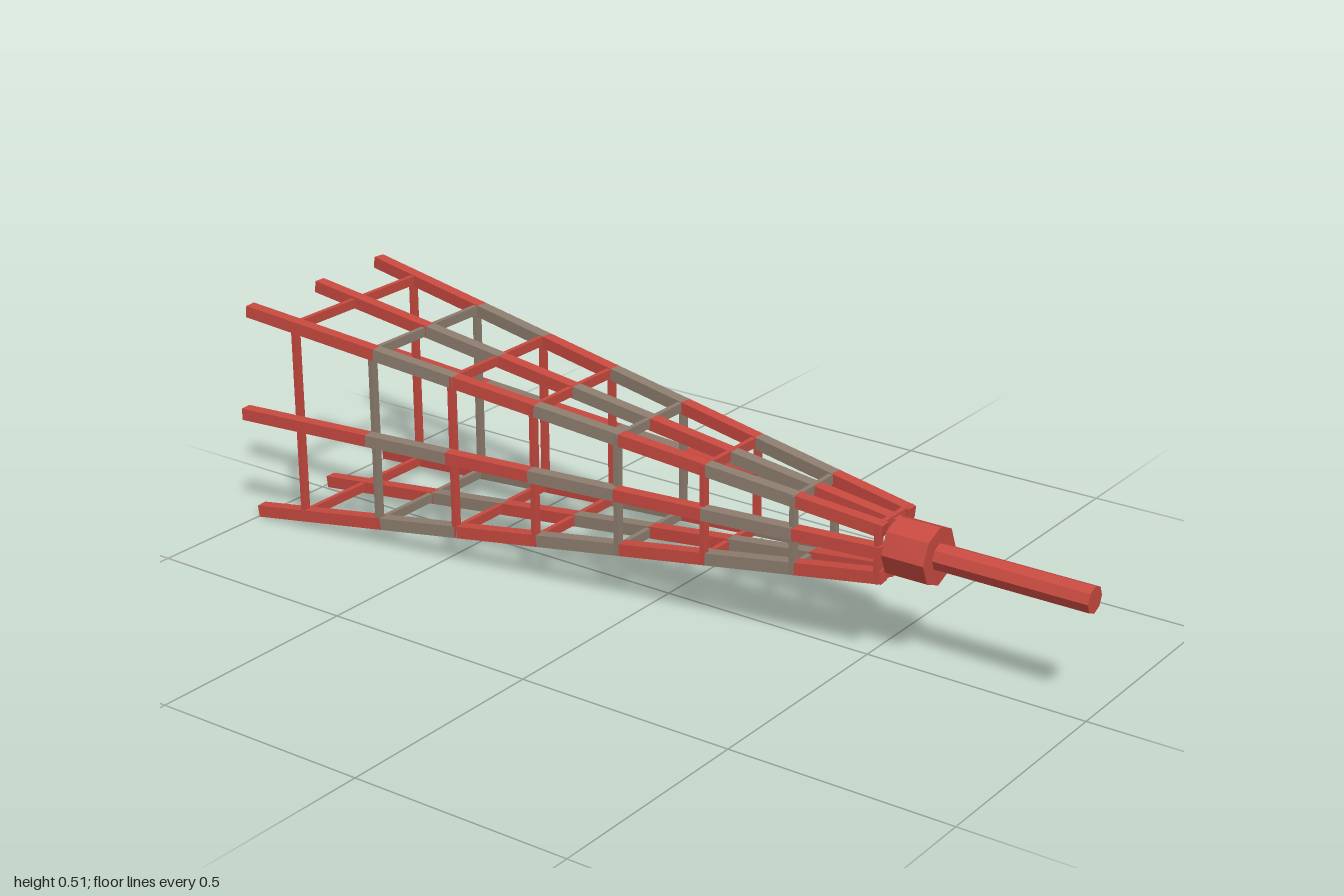
import * as THREE from 'three';

const red = new THREE.MeshStandardMaterial({ color: 0xc94a40 });
red.name = 'red paint';
const grey = new THREE.MeshStandardMaterial({ color: 0x8f7e70 });
grey.name = 'weathered grey';

const V = (x, y, z) => new THREE.Vector3(x, y, z);
const CX = 0.003, CY = 0.261;

// Square beam between two points
function beam(a, b, size, material, name) {
  const mesh = new THREE.Mesh(new THREE.BoxGeometry(size, size, a.distanceTo(b)), material);
  mesh.position.copy(a).lerp(b, 0.5);
  mesh.lookAt(b);
  mesh.name = name;
  return mesh;
}

// Leg painted in alternating bands that change at the cross frames
const bands = [0.56, 0.365, 0.16, -0.045, -0.25, -0.455, -0.66, -1];
function leg(start, end, name) {
  const group = new THREE.Group();
  group.name = name;
  const at = z => start.clone().lerp(end, Math.min(1, (start.z - z) / (start.z - end.z)));
  for (let i = 0; i < bands.length - 1; i++) {
    group.add(beam(at(bands[i]), at(bands[i + 1]), 0.027, i % 2 ? grey : red, 'legBand'));
  }
  return group;
}

// Rectangular cross frame made of four flat bars
function frame(z, halfX, halfY, cx, cy, material) {
  const group = new THREE.Group();
  group.name = 'crossFrame';
  const w = 0.021, d = 0.011;
  for (const s of [-1, 1]) {
    const rail = new THREE.Mesh(new THREE.BoxGeometry(2 * halfX, w, d), material);
    rail.position.set(cx, cy + s * (halfY - w / 2), z);
    rail.name = 'crossRail';
    const post = new THREE.Mesh(new THREE.BoxGeometry(w * 0.85, 2 * halfY - 2 * w, d), material);
    post.position.set(cx + s * (halfX - w * 0.425), cy, z);
    post.name = 'crossPost';
    group.add(rail, post);
  }
  return group;
}

// Octagonal rod along z
function octagon(radius, z0, z1, name) {
  const geo = new THREE.CylinderGeometry(radius, radius, z1 - z0, 8).rotateX(Math.PI / 2).toNonIndexed();
  geo.computeVertexNormals();
  const mesh = new THREE.Mesh(geo, red);
  mesh.position.set(CX, CY, (z0 + z1) / 2);
  mesh.name = name;
  return mesh;
}

export function createModel() {
  const model = new THREE.Group();
  model.name = 'latticeMast';

  // Mast rod and hub
  model.add(octagon(0.029, 0.6, 1, 'mastRod'), octagon(0.063, 0.56, 0.657, 'hub'));

  // Corner legs
  for (const sx of [-1, 1]) for (const sy of [-1, 1]) {
    model.add(leg(V(CX + sx * 0.05, CY + sy * 0.05, 0.56),
      V(0.0135 + sx * 0.214, 0.2555 + sy * 0.2405, -1), 'cornerLeg'));
  }

  // Legs in the middle of each side
  model.add(
    leg(V(0.004, 0.307, 0.56), V(0.012, 0.498, -0.988), 'topLeg'),
    leg(V(-0.003, 0.211, 0.56), V(0.018, 0.016, -0.988), 'bottomLeg'),
    leg(V(-0.051, 0.265, 0.56), V(-0.245, 0.269, -0.988), 'rightLeg'),
    leg(V(0.057, 0.273, 0.56), V(0.245, 0.261, -0.988), 'leftLeg'));

  // Cross frames, widening towards the back
  const paints = [grey, red, grey, red, red, grey, red];
  paints.forEach((paint, i) => {
    const t = i / 6;
    model.add(frame(0.363 - 0.206 * i, 0.086 + 0.12 * t, 0.086 + 0.149 * t,
      0.003 + 0.003 * t, 0.26 - 0.003 * t, paint));
  });
  model.add(frame(0.55, 0.065, 0.065, CX, CY, red));

  return model;
}
